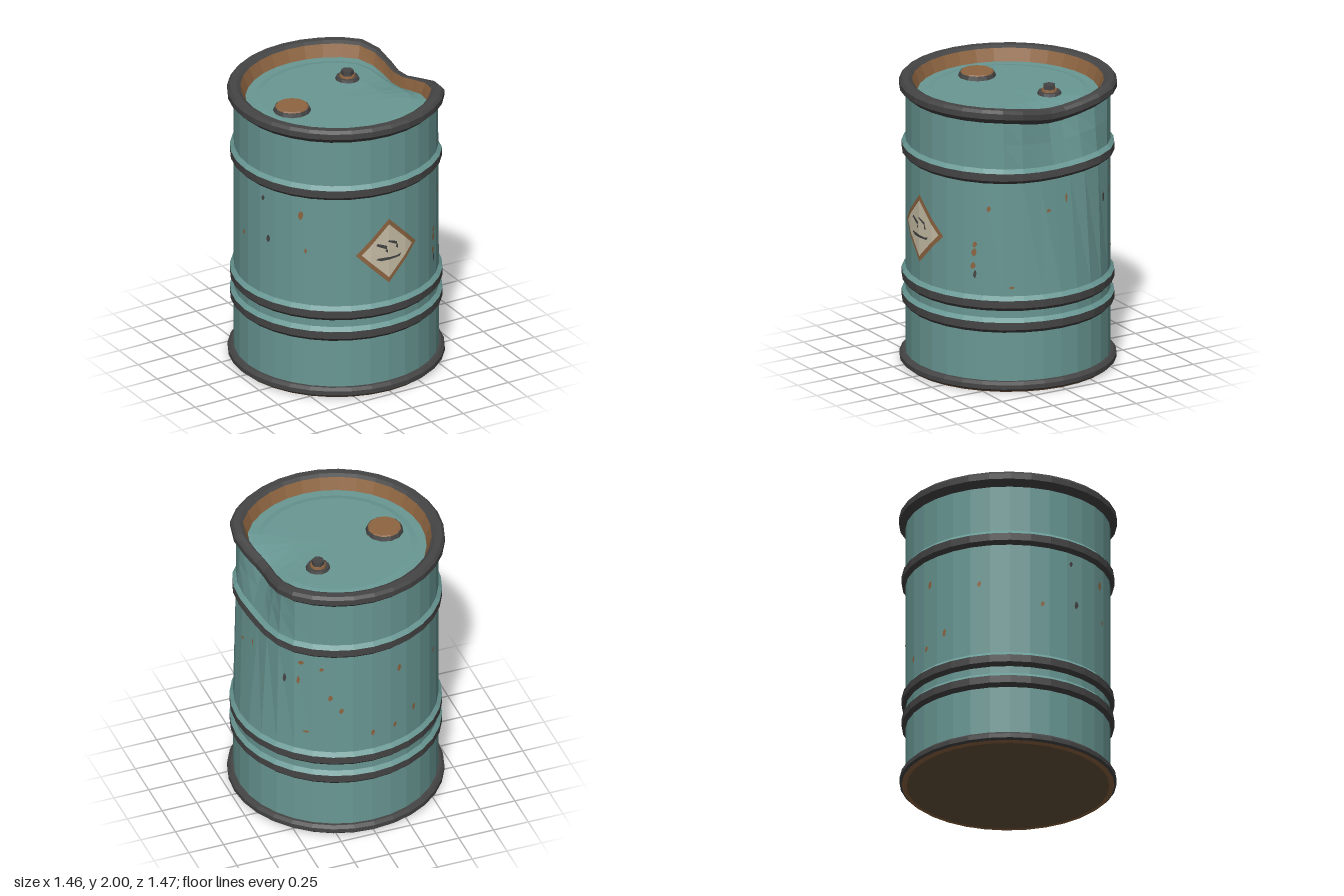
import * as THREE from 'three';

const SEGS = 32, STEP = (Math.PI * 2) / SEGS, R = 0.69;

const material = (name, color) => {
  const m = new THREE.MeshStandardMaterial({ color });
  m.name = name;
  return m;
};

// How strongly the dent acts at each height
const DENT_KNOTS = [[0.674, 0], [1.47, 0.45], [1.75, 0.82], [1.9, 1]];
function dentAtHeight(y) {
  if (y <= DENT_KNOTS[0][0]) return 0;
  for (let i = 1; i < DENT_KNOTS.length; i++) {
    const [y0, f0] = DENT_KNOTS[i - 1], [y1, f1] = DENT_KNOTS[i];
    if (y <= y1) return f0 + ((f1 - f0) * (y - y0)) / (y1 - y0);
  }
  return 1;
}

// Pushes the +x side inward and down, most at the top rim
function dent(p) {
  const r = Math.hypot(p.x, p.z);
  const d = Math.abs(Math.atan2(p.z, p.x) + 0.1) / 0.78;
  if (r < 1e-6 || d >= 1) return p;
  const f = dentAtHeight(p.y);
  const w = 0.5 * (1 + Math.cos(Math.PI * d)) * Math.min(1, r / R) ** 3;
  const scale = (r - 0.165 * f * w) / r;
  return p.set(p.x * scale, p.y - 0.08 * f * f * w, p.z * scale);
}

// Faceted normals
function faceted(geometry) {
  const g = geometry.index ? geometry.toNonIndexed() : geometry;
  g.computeVertexNormals();
  return g;
}

// Revolved profile with the dent applied
function ring(name, profile, mat) {
  const g = new THREE.LatheGeometry(profile.map(([x, y]) => new THREE.Vector2(x, y)), SEGS);
  const pos = g.attributes.position, p = new THREE.Vector3();
  for (let i = 0; i < pos.count; i++) {
    dent(p.fromBufferAttribute(pos, i));
    pos.setXYZ(i, p.x, p.y, p.z);
  }
  const mesh = new THREE.Mesh(faceted(g), mat);
  mesh.name = name;
  return mesh;
}

// Point on the faceted, dented wall, lifted slightly outward
function onWall(theta, y, lift) {
  const k = Math.floor(theta / STEP + 1e-6);
  const corner = (n) => dent(new THREE.Vector3(R * Math.cos(n * STEP), y, R * Math.sin(n * STEP)));
  const p = corner(k).lerp(corner(k + 1), theta / STEP - k);
  p.x += lift * Math.cos(theta);
  p.z += lift * Math.sin(theta);
  return p;
}

// Thin painted patch: convex polygons in (right, up) units wrapped on the wall
function decal(name, polygons, theta, y, lift, mat) {
  const points = [];
  for (const poly of polygons) {
    const v = poly.map(([u, h]) => onWall(theta - u / R, y + h, lift));
    for (let i = 1; i < v.length - 1; i++) points.push(v[0], v[i], v[i + 1]);
  }
  const mesh = new THREE.Mesh(faceted(new THREE.BufferGeometry().setFromPoints(points)), mat);
  mesh.name = name;
  return mesh;
}

// Diamond cut into strips that follow the wall facets
function diamond(h) {
  const cuts = [-h, -R * STEP, 0, R * STEP, h];
  return cuts.slice(1).map((b, i) => {
    const a = cuts[i], ta = h - Math.abs(a), tb = h - Math.abs(b);
    return [[a, -ta], [b, -tb], [b, tb], [a, ta]];
  });
}

function cylinder(name, rTop, rBottom, height, sides, x, y, z, mat) {
  const mesh = new THREE.Mesh(faceted(new THREE.CylinderGeometry(rTop, rBottom, height, sides)), mat);
  mesh.name = name;
  mesh.position.set(x, y + height / 2, z);
  return mesh;
}

export function createModel() {
  const teal = material('teal paint', 0x699894);
  const steel = material('dark steel', 0x454545);
  const rust = material('rust', 0x8e6541);
  const oldRust = material('old rust', 0x6b543e);
  const cream = material('cream label', 0xcbc1a9);
  const group = new THREE.Group();
  group.name = 'barrel';

  // Wall sections, each starting on the upper bevel of a hoop
  const hoopTops = [0.493, 0.647, 1.547];
  const wallEnds = [...hoopTops.map((y) => y - 0.077), 1.9];
  wallEnds.forEach((end, i) => {
    const profile = i === 0
      ? [[R, 0.07]]
      : [[0.715, hoopTops[i - 1]], [R, hoopTops[i - 1] + 0.027]];
    if (i === 3) profile.push([R, 1.75]);
    profile.push([R, end]);
    group.add(ring('wall', profile, teal));
  });

  // Hoops
  for (const y of hoopTops) {
    group.add(ring('hoop', [[R, y - 0.077], [0.715, y - 0.052], [0.715, y]], steel));
  }

  // Bottom
  group.add(ring('bottomDisc', [[0, 0.004], [0.68, 0.004]], oldRust));
  group.add(ring('bottomRustEdge', [[0.68, 0.004], [0.7, 0], [0.715, 0.012]], rust));
  group.add(ring('bottomRim', [[0.715, 0.012], [0.73, 0.025], [0.73, 0.055], [0.71, 0.074], [R, 0.074]], steel));

  // Top rim, rusty inner wall and lid
  group.add(ring('topRim', [
    [R, 1.9], [0.705, 1.915], [0.733, 1.94], [0.733, 1.98], [0.715, 2], [0.67, 2], [0.645, 1.985],
  ], steel));
  group.add(ring('innerWall', [[0.645, 1.985], [0.61, 1.9]], rust));
  group.add(ring('lid', [[0.61, 1.9], [0.55, 1.9], [0.51, 1.908], [0.3, 1.908], [0, 1.908]], teal));

  // Large cap
  group.add(cylinder('largeCapRing', 0.118, 0.132, 0.035, 12, -0.36, 1.9, 0.025, steel));
  group.add(cylinder('largeCapTop', 0.108, 0.114, 0.008, 12, -0.36, 1.935, 0.025, rust));

  // Small bung with hexagonal plug
  group.add(cylinder('bungFlange', 0.075, 0.086, 0.025, 12, 0.205, 1.9, -0.2, steel));
  group.add(cylinder('bungCollar', 0.052, 0.055, 0.015, 12, 0.205, 1.925, -0.2, rust));
  group.add(cylinder('bungPlug', 0.043, 0.046, 0.035, 6, 0.205, 1.935, -0.2, steel));

  // Warning label with worn marks
  const front = Math.PI / 2;
  group.add(decal('labelBorder', diamond(0.238), front, 1.047, 0.004, rust));
  group.add(decal('labelFace', diamond(0.198), front, 1.047, 0.007, cream));
  group.add(decal('labelMarks', [
    [[-0.095, 0.055], [-0.02, 0.015], [-0.015, 0.04], [-0.085, 0.07]],
    [[-0.03, 0.005], [-0.012, -0.01], [-0.01, 0.01], [-0.022, 0.018]],
    [[-0.01, 0.07], [0.06, 0.035], [0.065, 0.055], [0, 0.08]],
    [[0.055, 0.012], [0.072, 0.005], [0.07, 0.035], [0.058, 0.04]],
    [[-0.095, -0.05], [-0.06, -0.065], [0, -0.065], [0, -0.045], [-0.085, -0.042]],
    [[0, -0.065], [0.085, -0.062], [0.098, -0.04], [0.075, -0.05], [0, -0.047]],
  ], front, 1.047, 0.0095, steel));

  // Paint chips: degrees around, height, width, tall
  const chips = [
    [141, 1.335, 0.04, 0.07], [138, 1.075, 0.02, 0.04], [42, 1.29, 0.03, 0.045], [50, 1.03, 0.035, 0.045],
    [50.5, 0.975, 0.04, 0.06], [51, 0.88, 0.04, 0.05], [29, 0.735, 0.04, 0.02], [6, 1.255, 0.04, 0.025],
    [-7, 1.32, 0.02, 0.07], [-47.5, 1.25, 0.025, 0.07], [-49, 1.4, 0.045, 0.035], [-61, 1.365, 0.035, 0.03],
    [-52, 0.83, 0.055, 0.018], [-66, 1.13, 0.035, 0.05], [-72, 1.02, 0.035, 0.045], [-104, 0.82, 0.03, 0.045],
    [-118, 0.885, 0.03, 0.06], [-107, 1.28, 0.035, 0.06], [-140, 1.19, 0.03, 0.045], [-176, 1.05, 0.03, 0.04],
    [-90, 0.81, 0.03, 0.05],
  ];
  const darkChips = [[50, 0.82, 0.025, 0.06], [-38.5, 1.23, 0.03, 0.075], [166, 1.39, 0.03, 0.04], [162, 1.1, 0.035, 0.06]];
  const outline = [[-0.5, -0.1], [-0.1, -0.5], [0.25, -0.35], [0.5, 0.15], [0.2, 0.5], [-0.25, 0.3]];
  const addChips = (list, name, mat) => list.forEach(([deg, y, w, h], i) => {
    const flip = i % 2 ? -1 : 1;
    const poly = outline.map(([u, v]) => [u * w * flip, v * h * flip]);
    group.add(decal(name, [poly], (deg * Math.PI) / 180, y, 0.005, mat));
  });
  addChips(chips, 'rustChip', rust);
  addChips(darkChips, 'bareChip', steel);

  return group;
}
